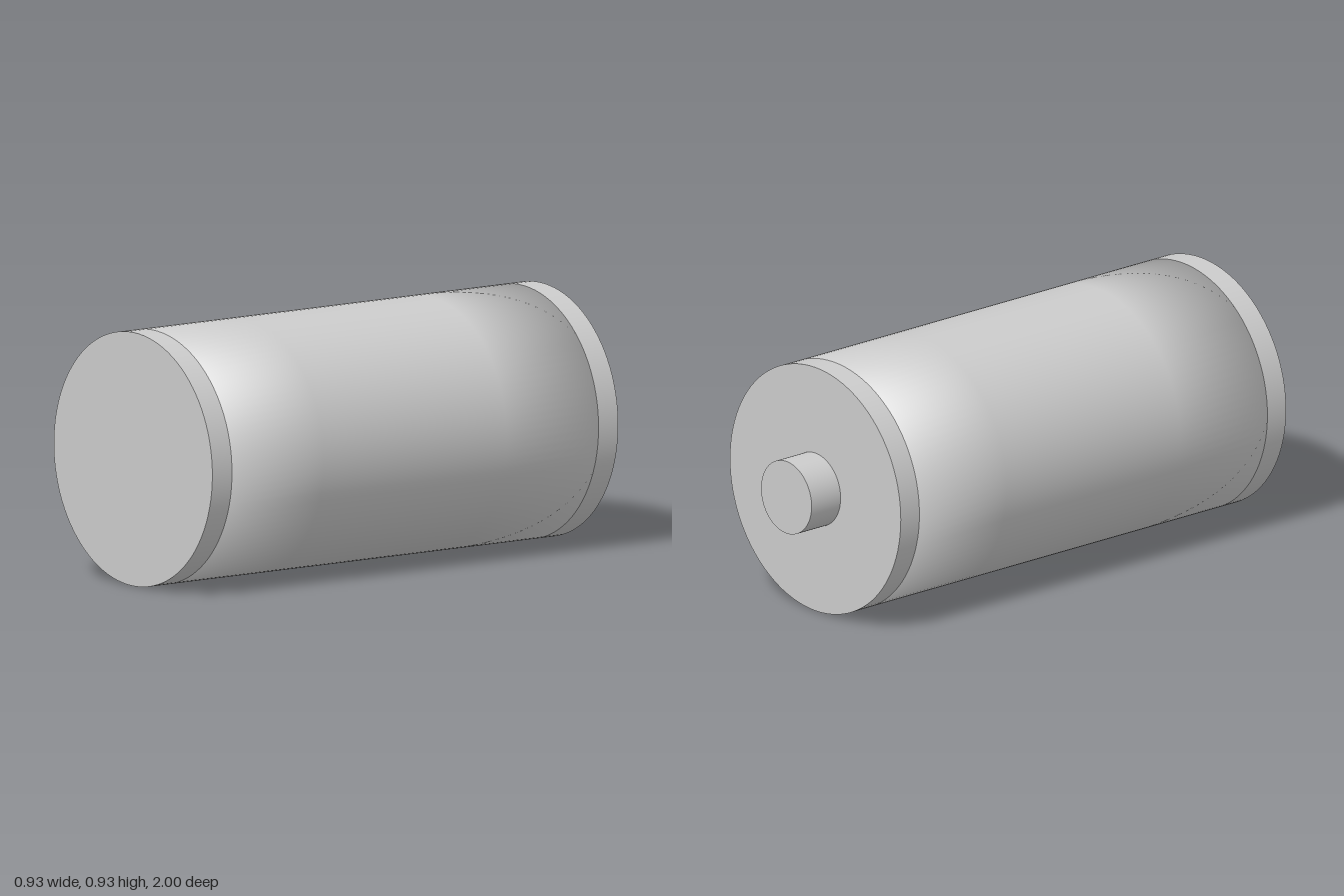
import * as THREE from 'three';

const RADIUS = 0.463;
const SEGMENTS = 96;

export function createModel() {
  const model = new THREE.Group();
  model.name = 'battery';
  const material = new THREE.MeshStandardMaterial({ color: 0xcccccc });

  // Adds a part turned about the z axis, resting on the ground plane.
  function addPart(name, geometry, z = 0) {
    geometry.rotateX(Math.PI / 2);
    const mesh = new THREE.Mesh(geometry, material);
    mesh.name = name;
    mesh.position.set(0, RADIUS, z);
    model.add(mesh);
  }

  // Crisp-edged disc spanning zMin to zMax.
  function addDisc(name, radius, zMin, zMax) {
    const geometry = new THREE.CylinderGeometry(radius, radius, zMax - zMin, SEGMENTS);
    addPart(name, geometry, (zMin + zMax) / 2);
  }

  // Sleeve: one smooth lathe, so its shading rolls softly over both ends.
  const profile = [
    [0, -0.77], [RADIUS, -0.77], [RADIUS, -0.35],
    [RADIUS, 0.49], [RADIUS, 0.91], [0, 0.91],
  ].map(([r, z]) => new THREE.Vector2(r, z));
  addPart('sleeve', new THREE.LatheGeometry(profile, SEGMENTS));

  // End caps and the raised contact at the back.
  addDisc('frontCap', RADIUS, 0.91, 1);
  addDisc('backCap', RADIUS, -0.86, -0.77);
  addDisc('terminal', 0.137, -1, -0.86);

  return model;
}
